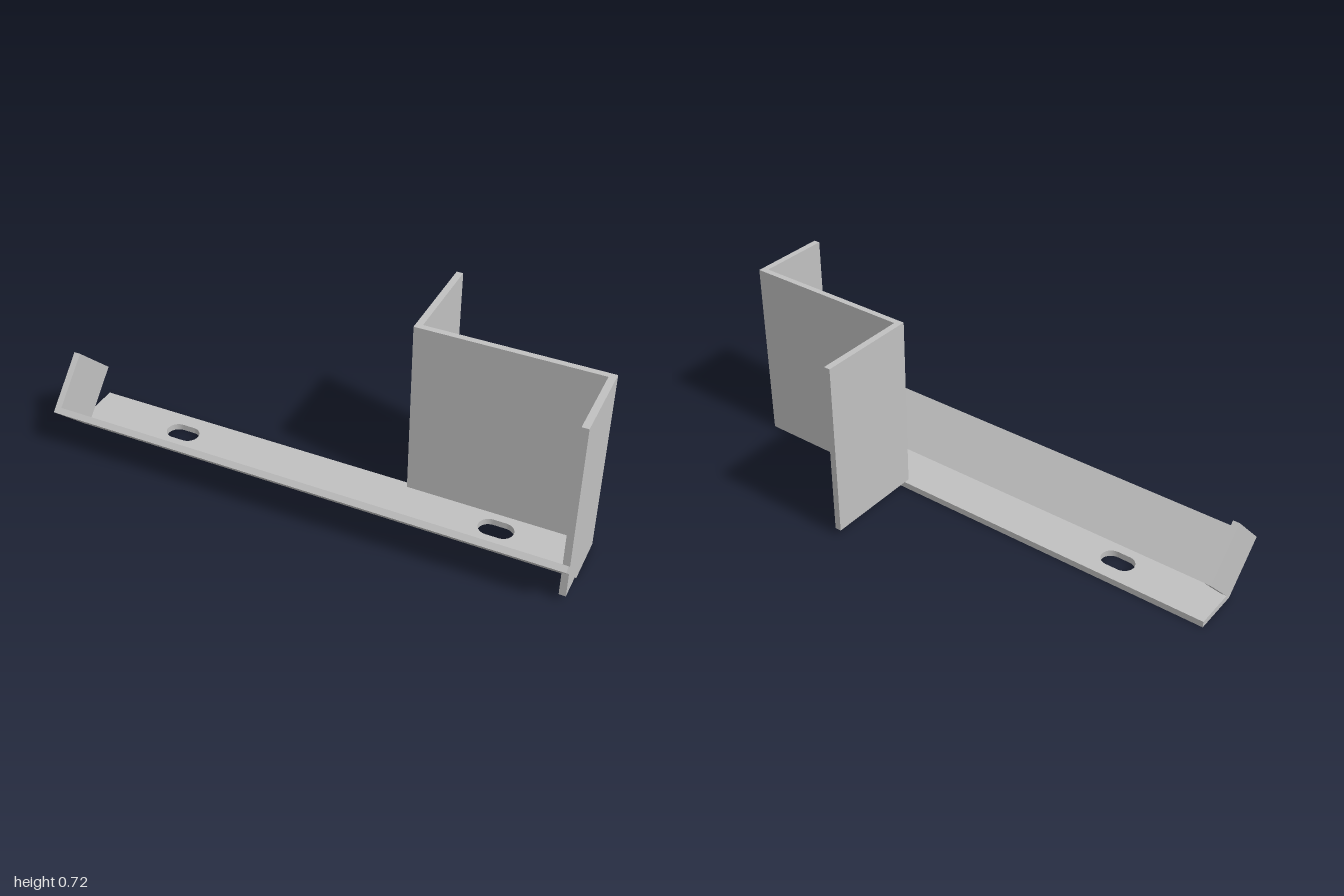
import * as THREE from 'three';

const T = 0.025; // sheet thickness

// Extrudes a [z, y] side profile along x, from x0 to x1
function alongX(profile, x0, x1) {
  const shape = new THREE.Shape(profile.map(([z, y]) => new THREE.Vector2(-z, y)));
  const g = new THREE.ExtrudeGeometry(shape, { depth: x1 - x0, bevelEnabled: false });
  return g.rotateY(Math.PI / 2).translate(x0, 0, 0);
}

// Extrudes an [x, z] plan (with optional holes) upwards, from y0 to y1
function upwards(plan, y0, y1, holes = []) {
  const shape = new THREE.Shape(plan.map(([x, z]) => new THREE.Vector2(x, -z)));
  shape.holes.push(...holes);
  const g = new THREE.ExtrudeGeometry(shape, { depth: y1 - y0, bevelEnabled: false, curveSegments: 16 });
  return g.rotateX(-Math.PI / 2).translate(0, y0, 0);
}

// Rounded mounting slot, long in x
function slot(cx, cz, halfLength, r) {
  const p = new THREE.Path();
  const d = halfLength - r;
  p.absarc(cx + d, -cz, r, -Math.PI / 2, Math.PI / 2, false);
  p.absarc(cx - d, -cz, r, Math.PI / 2, Math.PI * 1.5, false);
  p.closePath();
  return p;
}

export function createModel() {
  const model = new THREE.Group();
  model.name = 'sheetMetalBracket';
  const steel = new THREE.MeshStandardMaterial({ color: 0xc0c0c0 });
  steel.name = 'light grey steel';

  const add = (name, geometry) => {
    const mesh = new THREE.Mesh(geometry, steel);
    mesh.name = name;
    model.add(mesh);
  };

  // Flat base strip with two slots
  add('basePlate', upwards(
    [[-1, 0.01], [1, 0.01], [1, 0.185], [-1, 0.185]], 0, T,
    [-0.6, 0.677].map((x) => slot(x, 0.108, 0.066, 0.042))
  ));

  // Front lip bent up at 45 degrees
  add('slopedLip', alongX(
    [[0.185, 0], [0.198, 0], [0.363, 0.166], [0.346, 0.183], [0.188, T], [0.185, T]], -1, 1
  ));

  // Square end tab standing at right angles to the lip
  add('endTab', alongX(
    [[0.198, 0.001], [0.363, 0.166], [0.194, 0.335], [0.03, 0.171]], -1, -1 + T
  ));

  // Upright Z-shaped wall: rear fin, middle panel and front fin
  add('uprightWall', upwards([
    [0.305, -0.363], [0.33, -0.363], [0.33, 0.01], [1, 0.01], [1, 0.322],
    [0.975, 0.322], [0.975, 0.033], [0.305, 0.033],
  ], T, 0.725));

  return model;
}
